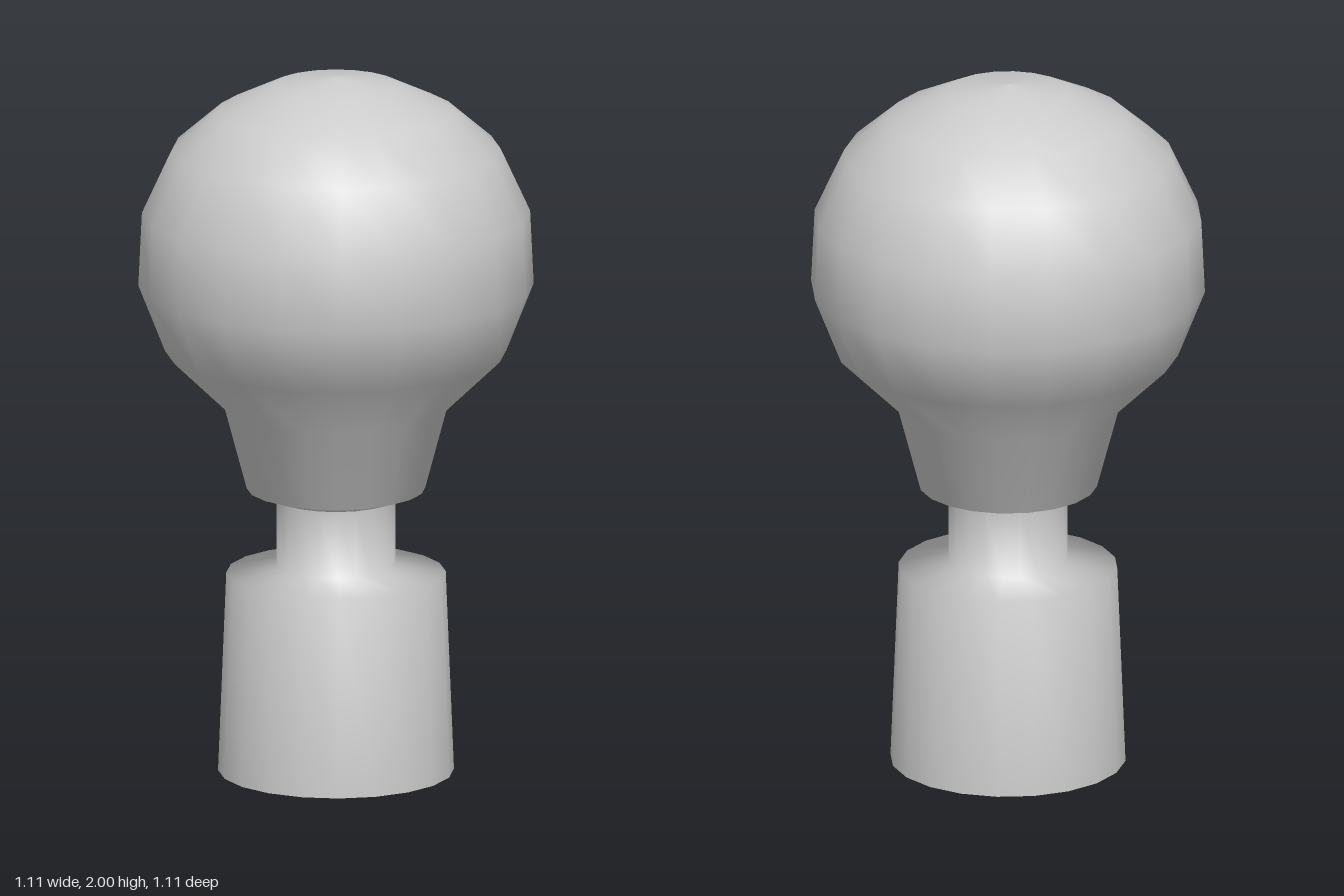
import * as THREE from 'three';

const SIDES = 20;

// Smooth turned part from [radius, height] pairs, listed bottom to top
function turned(name, profile) {
  const points = profile.map(([r, y]) => new THREE.Vector2(r, y));
  const material = new THREE.MeshStandardMaterial({ color: 0xcccccc, side: THREE.DoubleSide });
  const mesh = new THREE.Mesh(new THREE.LatheGeometry(points, SIDES), material);
  mesh.name = name;
  return mesh;
}

export function createModel() {
  const group = new THREE.Group();
  group.name = 'bulbKnob';

  // Hollow tapered socket, open below, with a sloped shoulder and a narrow neck
  group.add(turned('socketAndNeck', [
    [0.33, 0], [0.307, 0.57], [0.167, 0.592], [0.167, 0.785],
  ]));

  // Round bulb with a flared collar
  group.add(turned('bulb', [
    [0.167, 0.785], [0.25, 0.813], [0.313, 1.05], [0.478, 1.21], [0.553, 1.4],
    [0.543, 1.61], [0.46, 1.79], [0.333, 1.9], [0.176, 1.975], [0, 2],
  ]));

  return group;
}
